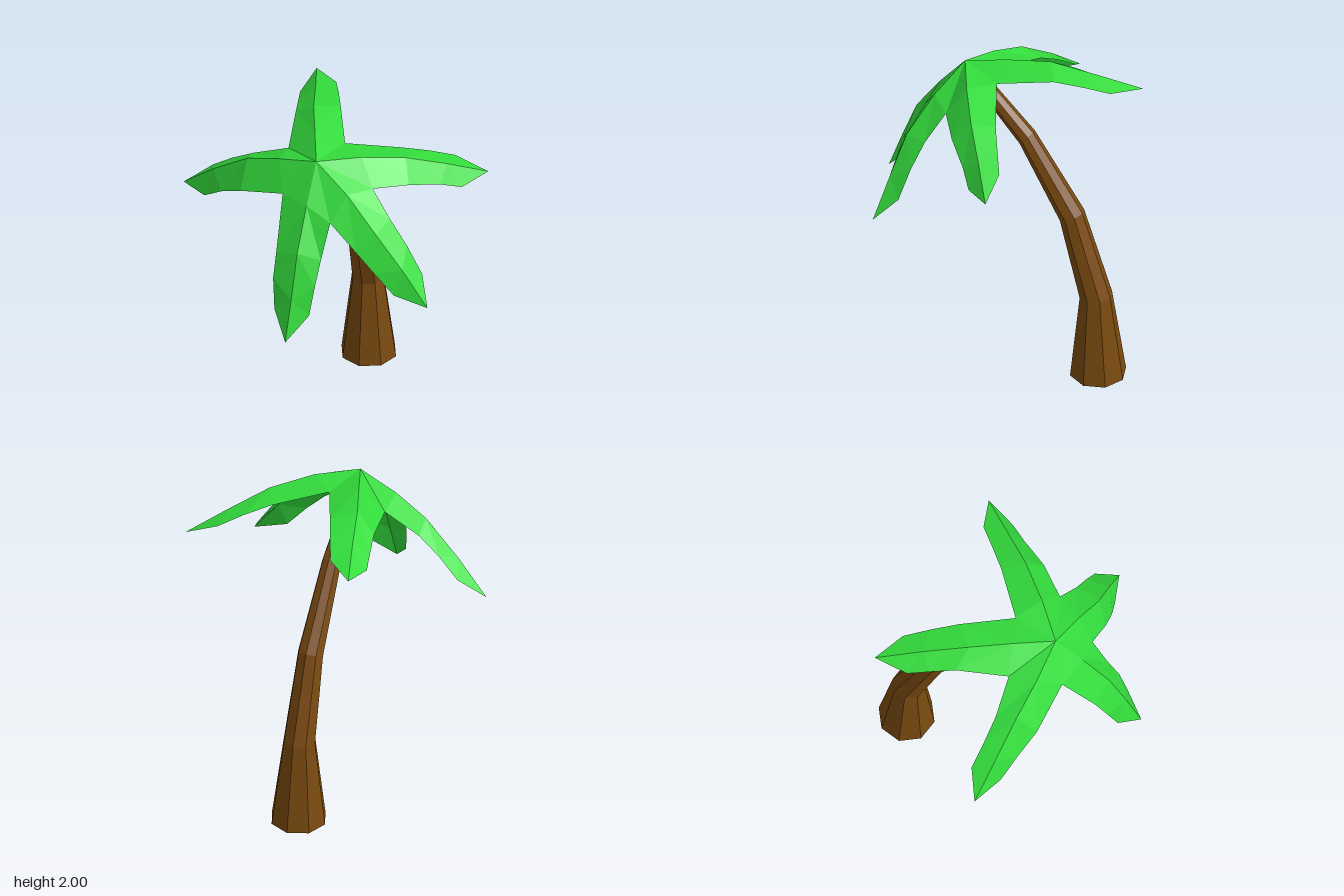
import * as THREE from 'three';

const bark = new THREE.MeshStandardMaterial({ color: 0x7a4a10, flatShading: true });
const leaf = new THREE.MeshStandardMaterial({ color: 0x33dc3c, flatShading: true, side: THREE.DoubleSide });

// Trunk rings from the ground up: height, z, radius, tilt
const RINGS = [
  [0, -0.64, 0.172, 0],
  [0.56, -0.625, 0.1, 0.1],
  [1.085, -0.46, 0.08, 0.46],
  [1.545, -0.15, 0.06, 0.85],
  [1.87, 0.2, 0.045, 0.85],
];

// Eight-sided cylinder bent and tapered along the rings
function makeTrunk() {
  const geo = new THREE.CylinderGeometry(1, 1, 1, 8, RINGS.length - 1);
  const p = geo.attributes.position;
  for (let i = 0; i < p.count; i++) {
    const [y, z, r, tilt] = RINGS[Math.round((p.getY(i) + 0.5) * (RINGS.length - 1))];
    const f = p.getZ(i) * r;
    p.setXYZ(i, 0.035 + p.getX(i) * r, y - f * Math.sin(tilt), z + f * Math.cos(tilt));
  }
  const mesh = new THREE.Mesh(geo, bark);
  mesh.name = 'trunk';
  return mesh;
}

// Crown point, and the notches where neighbouring fronds meet
const TOP = [0.035, 1.95, 0.28];
const NOTCH = {
  back: [0.12, 1.93, 0.01],
  left: [0.37, 1.79, 0.215],
  frontLeft: [0.19, 1.66, 0.465],
  frontRight: [-0.145, 1.735, 0.37],
  right: [-0.22, 1.85, 0.06],
};

// Each frond: ridge, left edge and right edge (seen outward from the crown), and tip
const FRONDS = {
  frontFrond: {
    ridge: [[0.035, 1.74, 0.45], [0.035, 1.5, 0.615], [0.035, 1.23, 0.72]],
    left: [NOTCH.frontLeft, [0.167, 1.45, 0.565], [0.157, 1.31, 0.64], [0.14, 1.13, 0.695]],
    right: [NOTCH.frontRight, [-0.115, 1.45, 0.565], [-0.108, 1.31, 0.64], [-0.08, 1.13, 0.695]],
    tip: [0.03, 0.985, 0.81],
  },
  frontLeftFrond: {
    ridge: [[0.26, 1.81, 0.36], [0.465, 1.62, 0.43], [0.64, 1.41, 0.445]],
    left: [NOTCH.left, [0.505, 1.64, 0.28], [0.62, 1.5, 0.31], [0.725, 1.335, 0.333]],
    right: [NOTCH.frontLeft, [0.362, 1.515, 0.5], [0.483, 1.39, 0.505], [0.603, 1.25, 0.49]],
    tip: [0.805, 1.19, 0.463],
  },
  backLeftFrond: {
    ridge: [[0.27, 1.94, 0.13], [0.49, 1.885, -0.03], [0.69, 1.78, -0.2]],
    left: [NOTCH.back, [0.42, 1.86, -0.16], [0.56, 1.81, -0.255], [0.69, 1.75, -0.345]],
    right: [NOTCH.left, [0.545, 1.765, 0.07], [0.685, 1.7, -0.09], [0.787, 1.64, -0.19]],
    tip: [0.89, 1.665, -0.367],
  },
  backFrond: {
    ridge: [[-0.06, 1.985, 0.04], [-0.155, 2.0, -0.2], [-0.24, 1.95, -0.47]],
    left: [NOTCH.right, [-0.285, 1.905, -0.25], [-0.325, 1.875, -0.4], [-0.36, 1.845, -0.53]],
    right: [NOTCH.back, [-0.02, 1.97, -0.3], [-0.09, 1.945, -0.46], [-0.16, 1.91, -0.61]],
    tip: [-0.33, 1.89, -0.737],
  },
  rightFrond: {
    ridge: [[-0.22, 1.88, 0.23], [-0.44, 1.795, 0.17], [-0.68, 1.62, 0.1]],
    left: [NOTCH.frontRight, [-0.44, 1.64, 0.295], [-0.592, 1.55, 0.215], [-0.72, 1.45, 0.15]],
    right: [NOTCH.right, [-0.45, 1.75, 0.043], [-0.595, 1.66, 0.01], [-0.73, 1.555, -0.03]],
    tip: [-0.893, 1.435, 0.033],
  },
};

// Two strips of faces falling from the ridge to either edge
function makeFrond(name, { ridge, left, right, tip }) {
  const r = [TOP, ...ridge, tip];
  const pts = [];
  for (const [edge, flip] of [[left, false], [right, true]]) {
    const e = [...edge, tip];
    for (let i = 0; i < r.length - 1; i++) {
      const tris = [[r[i], r[i + 1], e[i]]];
      if (i < r.length - 2) tris.push([r[i + 1], e[i + 1], e[i]]);
      for (const t of tris) pts.push(...(flip ? t.reverse() : t).flat());
    }
  }
  const geo = new THREE.BufferGeometry();
  geo.setAttribute('position', new THREE.Float32BufferAttribute(pts, 3));
  geo.computeVertexNormals();
  const mesh = new THREE.Mesh(geo, leaf);
  mesh.name = name;
  return mesh;
}

export function createModel() {
  const tree = new THREE.Group();
  tree.name = 'palmTree';
  const crown = new THREE.Group();
  crown.name = 'crown';
  for (const [name, shape] of Object.entries(FRONDS)) crown.add(makeFrond(name, shape));
  tree.add(makeTrunk(), crown);
  return tree;
}
